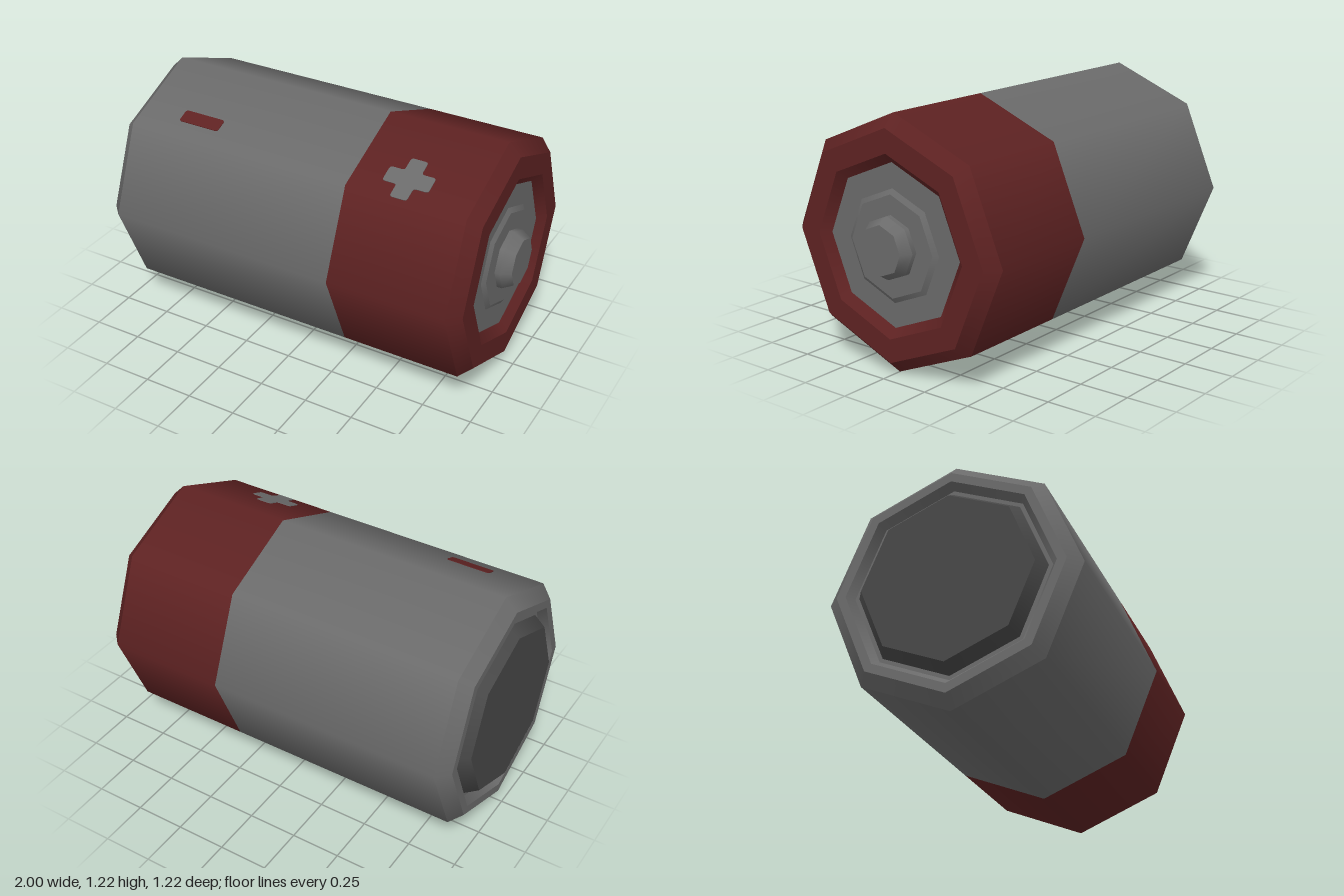
import * as THREE from 'three';

const R = 0.611; // body radius, corner to axis
const SIDES = 8;

const grey = new THREE.MeshStandardMaterial({ color: 0x6b6b6b });
grey.name = 'grey metal';
const red = new THREE.MeshStandardMaterial({ color: 0x5e2222 });
red.name = 'dark red';
const darkGrey = new THREE.MeshStandardMaterial({ color: 0x484848 });
darkGrey.name = 'dark grey';

// Octagonal shell along x; each [x, radius] step is its own band so edges stay crisp
function shell(name, material, profile) {
  const group = new THREE.Group();
  group.name = name;
  for (let i = 0; i < profile.length - 1; i++) {
    const pts = [profile[i], profile[i + 1]].map(([x, r]) => new THREE.Vector2(r, x));
    const geo = new THREE.LatheGeometry(pts, SIDES);
    geo.rotateZ(-Math.PI / 2);
    const mesh = new THREE.Mesh(geo, material);
    mesh.name = `${name}Band${i + 1}`;
    group.add(mesh);
  }
  return group;
}

// Closed polygon with softened corners
function softShape(points, r) {
  const shape = new THREE.Shape();
  const v = points.map(([x, y]) => new THREE.Vector2(x, y));
  v.forEach((p, i) => {
    const prev = v[(i + v.length - 1) % v.length];
    const next = v[(i + 1) % v.length];
    const a = p.clone().add(prev.clone().sub(p).setLength(r));
    const b = p.clone().add(next.clone().sub(p).setLength(r));
    if (i === 0) shape.moveTo(a.x, a.y);
    else shape.lineTo(a.x, a.y);
    shape.quadraticCurveTo(p.x, p.y, b.x, b.y);
  });
  shape.closePath();
  return shape;
}

// Thin painted plate lying on the upper front facet
function plate(name, material, points, x) {
  const geo = new THREE.ExtrudeGeometry(softShape(points, 0.014), {
    depth: 0.004, bevelEnabled: false, curveSegments: 3,
  });
  const mesh = new THREE.Mesh(geo, material);
  mesh.name = name;
  mesh.position.set(x, -0.11, R * Math.cos(Math.PI / SIDES) - 0.001);
  return mesh;
}

export function createModel() {
  const model = new THREE.Group();
  model.name = 'battery';
  const body = new THREE.Group();
  body.name = 'body';
  body.position.y = R;
  model.add(body);

  // Negative end: raised plate in a shallow recess
  body.add(shell('negativePlate', darkGrey, [[-1, 0], [-1, 0.415], [-0.935, 0.455]]));

  // Main casing with rim and chamfer
  body.add(shell('casing', grey, [
    [-0.935, 0.44], [-0.935, 0.475], [-0.975, 0.505], [-0.975, 0.55], [-0.915, R], [0.285, R],
  ]));

  // Red wrap with chamfer, flat rim and sloped recess wall
  body.add(shell('redWrap', red, [
    [0.285, R], [0.89, R], [0.95, 0.55], [0.95, 0.435], [0.91, 0.39],
  ]));

  // Positive end: disc, low step and contact nub
  body.add(shell('positiveTerminal', grey, [
    [0.91, 0.39], [0.91, 0.27], [0.925, 0.245], [0.925, 0.15], [0.95, 0.15], [1, 0.12], [1, 0],
  ]));

  // Polarity marks
  const marks = new THREE.Group();
  marks.name = 'polarityMarks';
  marks.rotation.x = -Math.PI / 2 + Math.PI / SIDES;
  const a = 0.043, b = 0.116;
  marks.add(plate('plusMark', grey, [
    [a, a], [a, b], [-a, b], [-a, a], [-b, a], [-b, -a],
    [-a, -a], [-a, -b], [a, -b], [a, -a], [b, -a], [b, a],
  ], 0.55));
  const w = 0.112, h = 0.036;
  marks.add(plate('minusMark', red, [[w, h], [-w, h], [-w, -h], [w, -h]], -0.58));
  body.add(marks);

  return model;
}
